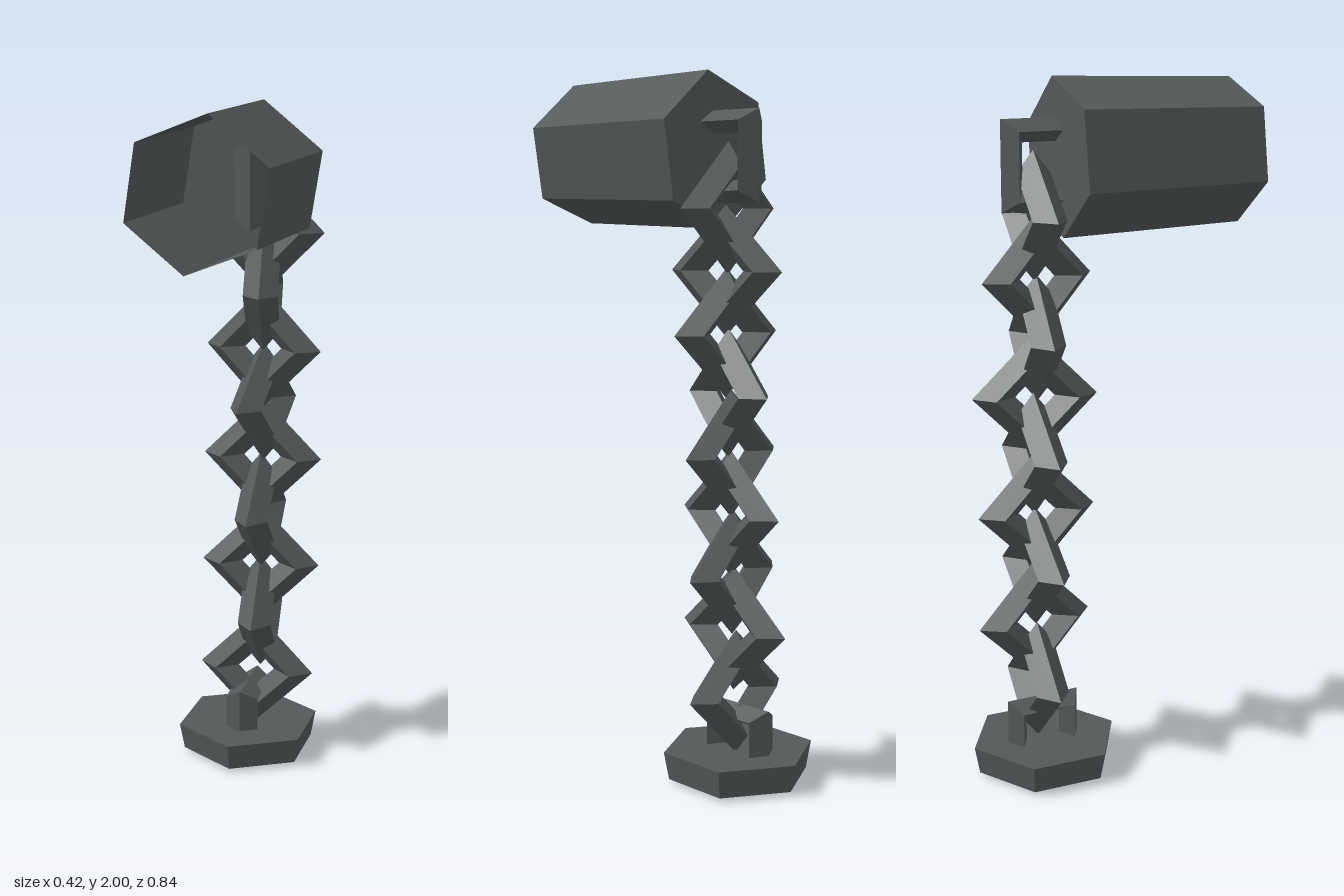
import * as THREE from 'three';

export function createModel() {
  const model = new THREE.Group();
  const iron = new THREE.MeshStandardMaterial({ color: 0x535858, flatShading: true, side: THREE.DoubleSide });
  iron.name = 'dark iron';

  // Six-sided hollow cup: closed at the wide top, open at the narrow bottom
  function cup(name, rOpen, rClosed, height, twist) {
    const profile = [
      new THREE.Vector2(rOpen, -height / 2),
      new THREE.Vector2(rClosed, height / 2),
      new THREE.Vector2(0, height / 2),
    ];
    const mesh = new THREE.Mesh(new THREE.LatheGeometry(profile, 6, twist), iron);
    mesh.name = name;
    model.add(mesh);
    return mesh;
  }

  // Four-cornered ring with a diamond bar section; spin turns it in its own plane
  function ring(name, radius, bar, halfDepth, spin, yaw, x, y, z) {
    const geometry = new THREE.TorusGeometry(radius, bar, 4, 4);
    geometry.rotateZ(spin).scale(1, 1, halfDepth / bar);
    const mesh = new THREE.Mesh(geometry, iron);
    mesh.name = name;
    mesh.position.set(x, y, z);
    mesh.rotation.y = THREE.MathUtils.degToRad(yaw);
    model.add(mesh);
    return mesh;
  }

  // Foot plate and the square ring set through it
  cup('footPlate', 0.205, 0.22, 0.08, -0.03).position.set(-0.02, 0.05, -0.2);
  ring('footRing', 0.115, 0.041, 0.05, Math.PI / 4, 90, -0.02, 0.11, -0.205);

  // Chain: links alternate between facing front and facing sideways
  const links = [ // yaw, x, y, z
    [-2, 0.003, 0.262, -0.21],
    [95, 0.015, 0.45, -0.212],
    [3, 0.016, 0.612, -0.207],
    [90, 0.018, 0.78, -0.2],
    [0, 0.021, 0.95, -0.205],
    [78, 0.026, 1.118, -0.198],
    [-8, 0.026, 1.284, -0.19],
    [100, 0.026, 1.455, -0.187],
    [-2, 0.026, 1.625, -0.195],
  ];
  links.forEach(([yaw, x, y, z], i) => ring(`chainLink${i + 1}`, 0.1185, 0.0615, 0.05, 0, yaw, x, y, z));

  // Hollow cuff opening to the front, with a ring through its back wall
  const cuff = cup('cuff', 0.205, 0.218, 0.553, 0.16);
  cuff.position.set(0.005, 1.783, 0.145);
  cuff.rotation.x = -Math.PI / 2;
  ring('cuffRing', 0.132, 0.045, 0.05, Math.PI / 4, 92, 0.018, 1.765, -0.17);

  return model;
}
